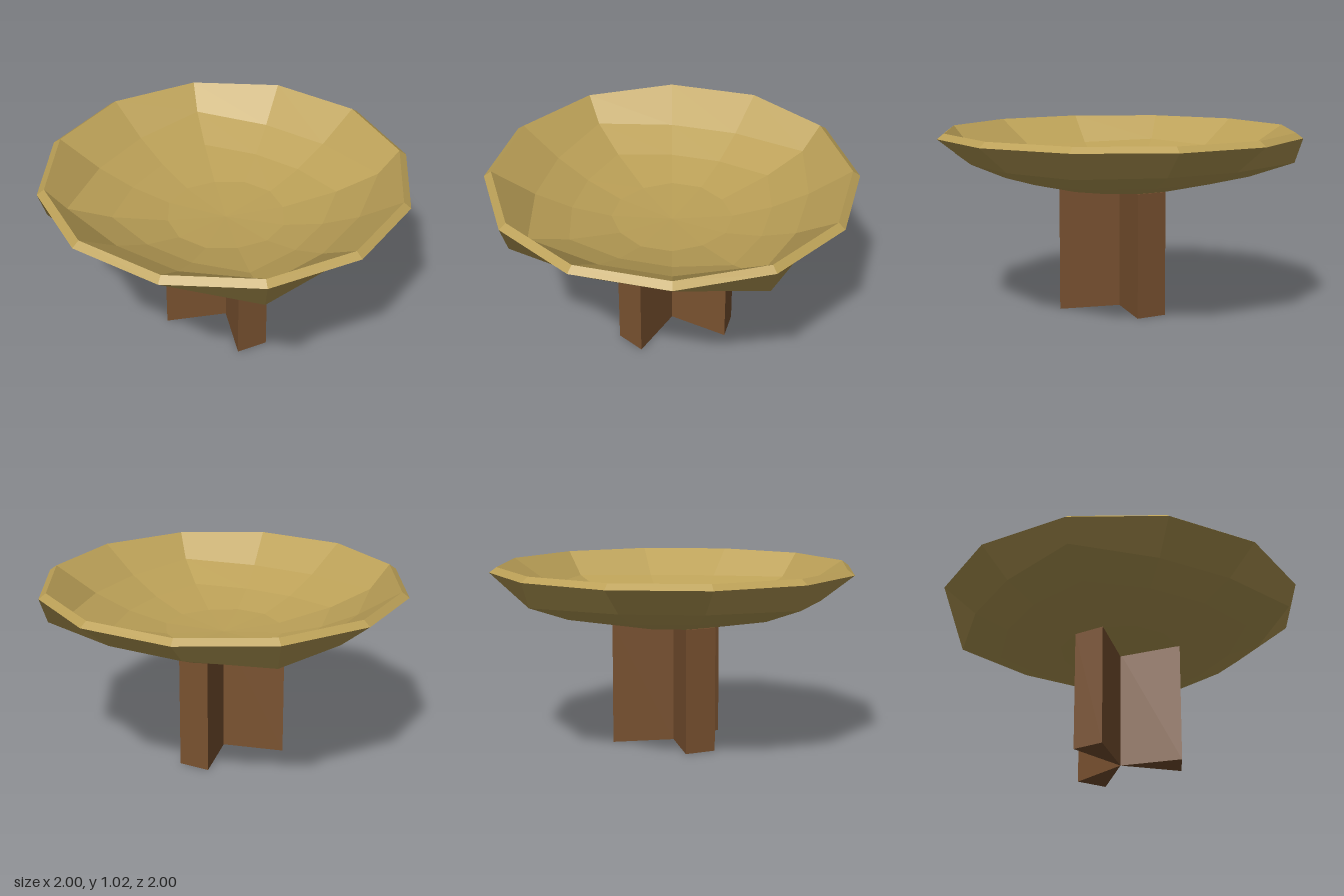
import * as THREE from 'three';

const SIDES = 12;

// Rings from the outer bottom, over the rim, to the inner bottom:
// [radius, height, radius at the diagonal corners, height at the corners]
const BOWL_RINGS = [
  [0, 0.675, 0, 0.675],
  [0.35, 0.695, 0.34, 0.695],
  [0.66, 0.765, 0.74, 0.77],
  [0.85, 0.845, 0.99, 0.855],
  [1.035, 0.99, 1.035, 0.99],
  [0.994, 1.02, 0.994, 1.02],
  [0.76, 0.872, 0.88, 0.88],
  [0.56, 0.783, 0.64, 0.79],
  [0.34, 0.725, 0.33, 0.725],
  [0, 0.705, 0, 0.705],
];

function ringPoint(i, j) {
  const [r, y, cornerR, cornerY] = BOWL_RINGS[i];
  const angle = (((j % SIDES) + 0.5) / SIDES) * Math.PI * 2;
  const corner = j % 3 === 1;
  const radius = corner ? cornerR : r;
  return new THREE.Vector3(radius * Math.cos(angle), corner ? cornerY : y, radius * Math.sin(angle));
}

// Every panel of the bowl has one normal, so its two triangles shade as one facet
function bowlGeometry() {
  const positions = [];
  const normals = [];
  const last = BOWL_RINGS.length - 2;
  for (let i = 0; i <= last; i++) {
    for (let j = 0; j < SIDES; j++) {
      const a = ringPoint(i, j), b = ringPoint(i + 1, j);
      const c = ringPoint(i + 1, j + 1), d = ringPoint(i, j + 1);
      const normal = c.clone().sub(a).cross(d.clone().sub(b)).normalize();
      // the first and last bands are triangle fans
      let corners = [a, b, c, a, c, d];
      if (i === 0) corners = [a, b, c];
      if (i === last) corners = [a, b, d];
      for (const point of corners) {
        positions.push(...point.toArray());
        normals.push(...normal.toArray());
      }
    }
  }
  const geometry = new THREE.BufferGeometry();
  geometry.setAttribute('position', new THREE.Float32BufferAttribute(positions, 3));
  geometry.setAttribute('normal', new THREE.Float32BufferAttribute(normals, 3));
  return geometry;
}

// Wedge with its sharp edge on the central axis, pointing to -z
function wedgeGeometry() {
  const shape = new THREE.Shape([
    new THREE.Vector2(0, 0),
    new THREE.Vector2(0.09, 0.34),
    new THREE.Vector2(-0.09, 0.34),
  ]);
  const geometry = new THREE.ExtrudeGeometry(shape, { depth: 0.694, bevelEnabled: false });
  return geometry.rotateX(-Math.PI / 2);
}

export function createModel() {
  const model = new THREE.Group();
  model.name = 'pedestalBowl';

  const bowlMaterial = new THREE.MeshStandardMaterial({ color: 0xbba057 });
  const woodMaterial = new THREE.MeshStandardMaterial({ color: 0x7a5230, flatShading: true });

  const bowl = new THREE.Mesh(bowlGeometry(), bowlMaterial);
  bowl.name = 'bowl';
  model.add(bowl);

  // Three wedges make the star-shaped stand
  const stand = new THREE.Group();
  stand.name = 'stand';
  const geometry = wedgeGeometry();
  for (let i = 0; i < 3; i++) {
    const wedge = new THREE.Mesh(geometry, woodMaterial);
    wedge.name = 'standWedge' + (i + 1);
    wedge.rotation.y = (i * Math.PI * 2) / 3;
    stand.add(wedge);
  }
  model.add(stand);

  return model;
}
